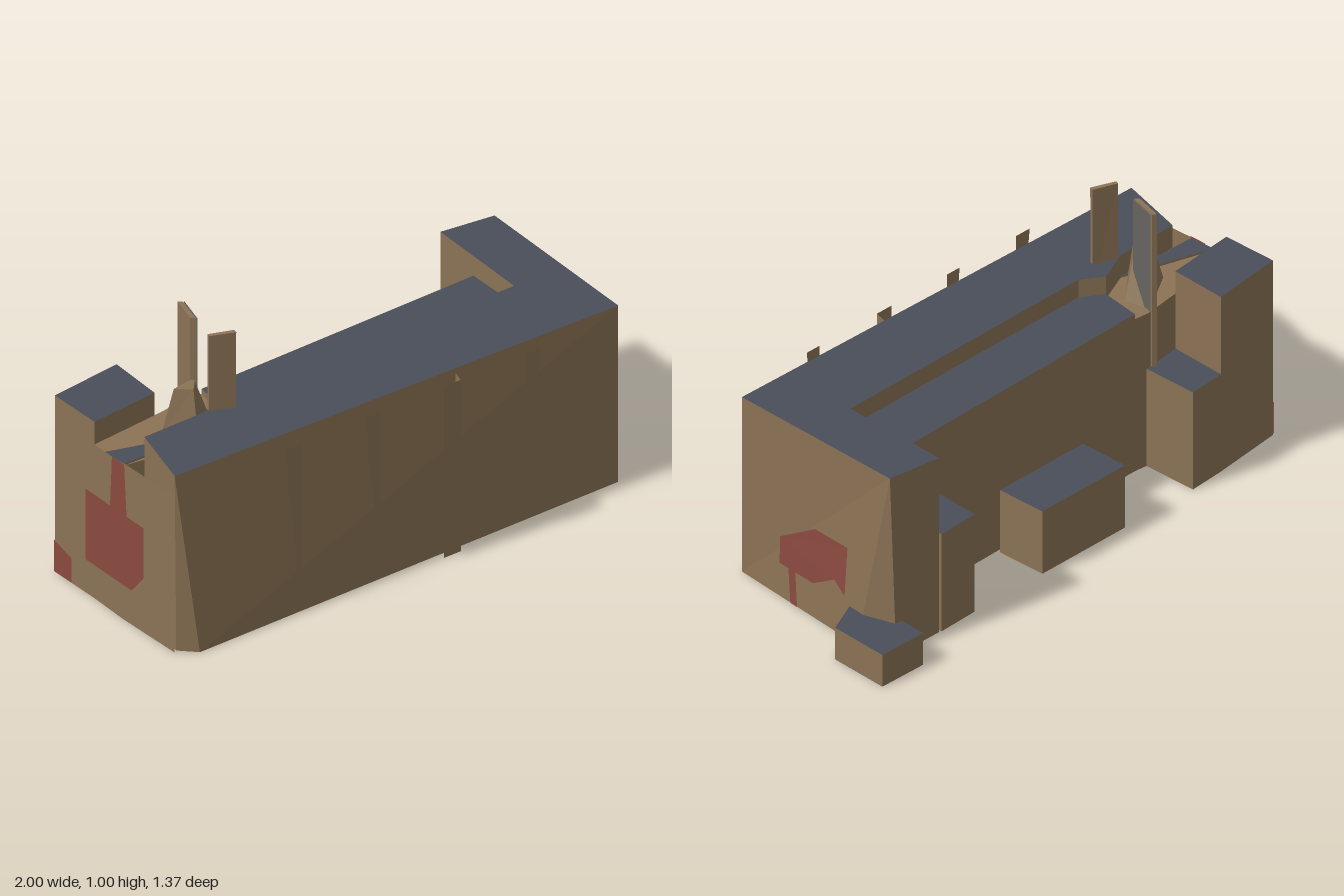
import * as THREE from 'three';

const mat = (name, color, side = THREE.FrontSide) => {
  const m = new THREE.MeshStandardMaterial({ color, side });
  m.name = name;
  return m;
};
const wall = mat('brown wall', 0x8b7355);
const sheet = mat('brown thin wall', 0x8b7355, THREE.DoubleSide);
const roof = mat('slate roof', 0x4a4e5a);
const red = mat('faded red paint', 0x8b4a40, THREE.DoubleSide);
const grey = mat('grey metal', 0x66645f, THREE.DoubleSide);

// Flat-shaded geometry from a list of [x, y, z] triangle corners
function facets(points) {
  const g = new THREE.BufferGeometry();
  g.setAttribute('position', new THREE.Float32BufferAttribute(points.flat(), 3));
  g.computeVertexNormals();
  return g;
}

// Upright block between a base and a top outline of [x, z] points,
// listed counter-clockwise as seen on the plan (front, right, back, left)
function block(name, base, y0, y1, topMat = roof, top = base) {
  const at = (p, y) => [p[0], y, p[1]];
  const n = base.length;
  const sides = [];
  for (let i = 0; i < n; i++) {
    const j = (i + 1) % n;
    sides.push(at(base[i], y0), at(base[j], y0), at(top[j], y1));
    sides.push(at(base[i], y0), at(top[j], y1), at(top[i], y1));
  }
  const cap = (outline, y, up) => {
    const pts = outline.map(([x, z]) => new THREE.Vector2(x, -z));
    return THREE.ShapeUtils.triangulateShape(pts, []).flatMap(([a, b, c]) => {
      const ccw = new THREE.Vector2().subVectors(pts[b], pts[a])
        .cross(new THREE.Vector2().subVectors(pts[c], pts[a])) > 0;
      const order = ccw === up ? [a, b, c] : [a, c, b];
      return order.map((k) => at(outline[k], y));
    });
  };
  const lower = [...sides, ...cap(base, y0, false)];
  const upper = cap(top, y1, true);
  const g = facets([...lower, ...upper]);
  g.addGroup(0, lower.length, 0);
  g.addGroup(lower.length, upper.length, 1);
  const mesh = new THREE.Mesh(g, [wall, topMat]);
  mesh.name = name;
  return mesh;
}

// Flat panel: a 2D outline (u, y) placed on a surface by a mapping rule
function panel(name, outline, place, material) {
  const pts = outline.map(([u, y]) => new THREE.Vector2(u, y));
  const tris = THREE.ShapeUtils.triangulateShape(pts, []).flat();
  const mesh = new THREE.Mesh(facets(tris.map((k) => place(...outline[k]))), material);
  mesh.name = name;
  return mesh;
}

export function createModel() {
  const model = new THREE.Group();
  model.name = 'building';

  // Tall L-shaped body with slightly leaning walls
  const inner = [[0.61, -0.49], [0.71, -0.07], [-0.37, 0.24], [-0.46, 0.21], [-0.57, 0.3], [-0.82, 0.375]];
  model.add(block('mainBody',
    [[-0.81, 0.64], [-0.74, 0.68], [0.99, 0.18], [0.89, -0.42], [0.81, -0.545], ...inner], 0, 0.7, roof,
    [[-0.82, 0.65], [-0.82, 0.65], [0.99, 0.18], [0.82, -0.52], [0.82, -0.52], ...inner]));

  // Lower roof strip behind the body, and the recess at its left end
  model.add(block('rearStrip',
    [[-0.46, 0.21], [-0.37, 0.24], [0.71, -0.07], [0.65, -0.29], [-0.48, 0.05]], 0, 0.63));
  model.add(block('endRecess',
    [[-0.9, 0.385], [-0.82, 0.375], [-0.57, 0.3], [-0.46, 0.21], [-0.48, 0.05], [-0.54, 0.06], [-0.68, 0.12], [-0.94, 0.22]],
    0, 0.61, wall));
  model.add(block('recessRoof', [[-0.9, 0.385], [-0.57, 0.3], [-0.93, 0.29]], 0.61, 0.618));

  // Rear wing with a lower step, and the smaller annexes
  model.add(block('rearWing', [[-0.94, 0.22], [-0.68, 0.12], [-0.73, -0.1], [-1, 0.01]], 0, 0.7));
  model.add(block('wingStep', [[-0.68, 0.12], [-0.53, 0.06], [-0.59, -0.15], [-0.73, -0.1]], 0, 0.39));
  model.add(block('middleAnnex', [[-0.215, -0.05], [0.175, -0.16], [0.12, -0.35], [-0.27, -0.24]], 0, 0.25));
  model.add(block('cornerAnnex', [[0.48, -0.24], [0.65, -0.29], [0.6, -0.49], [0.44, -0.44]], 0, 0.39));
  model.add(block('lowAnnex', [[0.81, -0.42], [0.88, -0.36], [1, -0.46], [0.95, -0.69], [0.76, -0.64]], 0, 0.127));

  // Thin wall closing the left end
  model.add(panel('endWall', [[0, 0], [1, 0], [1, 0.62], [0, 0.62]],
    (u, y) => [-0.9 + 0.08 * u, y, 0.385 + 0.265 * u], sheet));

  // Tapered ribs along the front
  const ribs = [
    [[-0.4, 0.69], [-0.335, 0.02], [-0.335, 0.69]],
    [[-0.07, 0.69], [-0.01, 0.02], [-0.01, 0.69]],
    [[0.25, 0.69], [0.25, 0.01], [0.32, 0.01], [0.32, 0.69]],
    [[0.59, 0.69], [0.59, 0.02], [0.65, 0.69]],
  ];
  ribs.forEach((r, i) => model.add(panel('frontRib' + (i + 1), r,
    (x, y) => [x, y, 0.505 - 0.28 * x], sheet)));
  model.add(panel('ribReturn', [[0, 0.01], [1, 0.01], [1, 0.69], [0, 0.69]],
    (u, y) => [0.32, y, 0.414 - 0.045 * u], sheet));

  // Rooftop stacks and the small wedge beside them
  model.add(block('rearStack', [[-0.57, 0.17], [-0.553, 0.18], [-0.553, 0.06], [-0.57, 0.055]], 0.39, 1, wall));
  model.add(panel('stackPlate', [[0.06, 0.39], [0.18, 0.39], [0.18, 1], [0.06, 1]],
    (z, y) => [-0.548, y, z], grey));
  model.add(block('frontStack', [[-0.555, 0.3], [-0.46, 0.31], [-0.46, 0.298], [-0.555, 0.288]], 0.6, 1, wall,
    [[-0.555, 0.305], [-0.46, 0.315], [-0.46, 0.298], [-0.555, 0.29]]));
  model.add(block('roofWedge', [[-0.7, 0.23], [-0.59, 0.29], [-0.5, 0.16], [-0.56, 0.08]], 0.6, 0.765, wall,
    [[-0.65, 0.22], [-0.59, 0.25], [-0.565, 0.2], [-0.57, 0.185]]));

  // Painted patch on the right end wall
  const onRight = (z, y) => [0.996 - (0.167 + 0.109 * y) * (0.18 - z), y, z];
  model.add(panel('rightPatch', [[-0.02, 0.24], [-0.19, 0.35], [-0.35, 0.35], [-0.35, 0.16],
    [-0.295, 0.2], [-0.19, 0.135], [-0.02, 0.135]], onRight, red));
  model.add(panel('rightPatchStem', [[-0.065, 0.135], [-0.1, 0.135], [-0.115, 0.004], [-0.08, 0.004]], onRight, red));

  // Painted patches on the left end wall
  const onLeft = (u, y) => [-0.963 + 0.09 * u, y, 0.17 + 0.33 * u];
  model.add(panel('leftPatch', [[0.05, 0.14], [0.8, 0.14], [1, 0.22], [1, 0.42], [0.05, 0.42]], onLeft, red));
  model.add(panel('leftPatchStem', [[0.45, 0.42], [0.72, 0.42], [0.68, 0.62], [0.48, 0.62]], onLeft, red));
  model.add(panel('leftCornerPatch', [[0, 0.004], [0.45, 0.004], [0.45, 0.1], [0, 0.13]],
    (u, y) => [-1.004 + 0.06 * u, y, 0.01 + 0.21 * u], red));

  return model;
}
